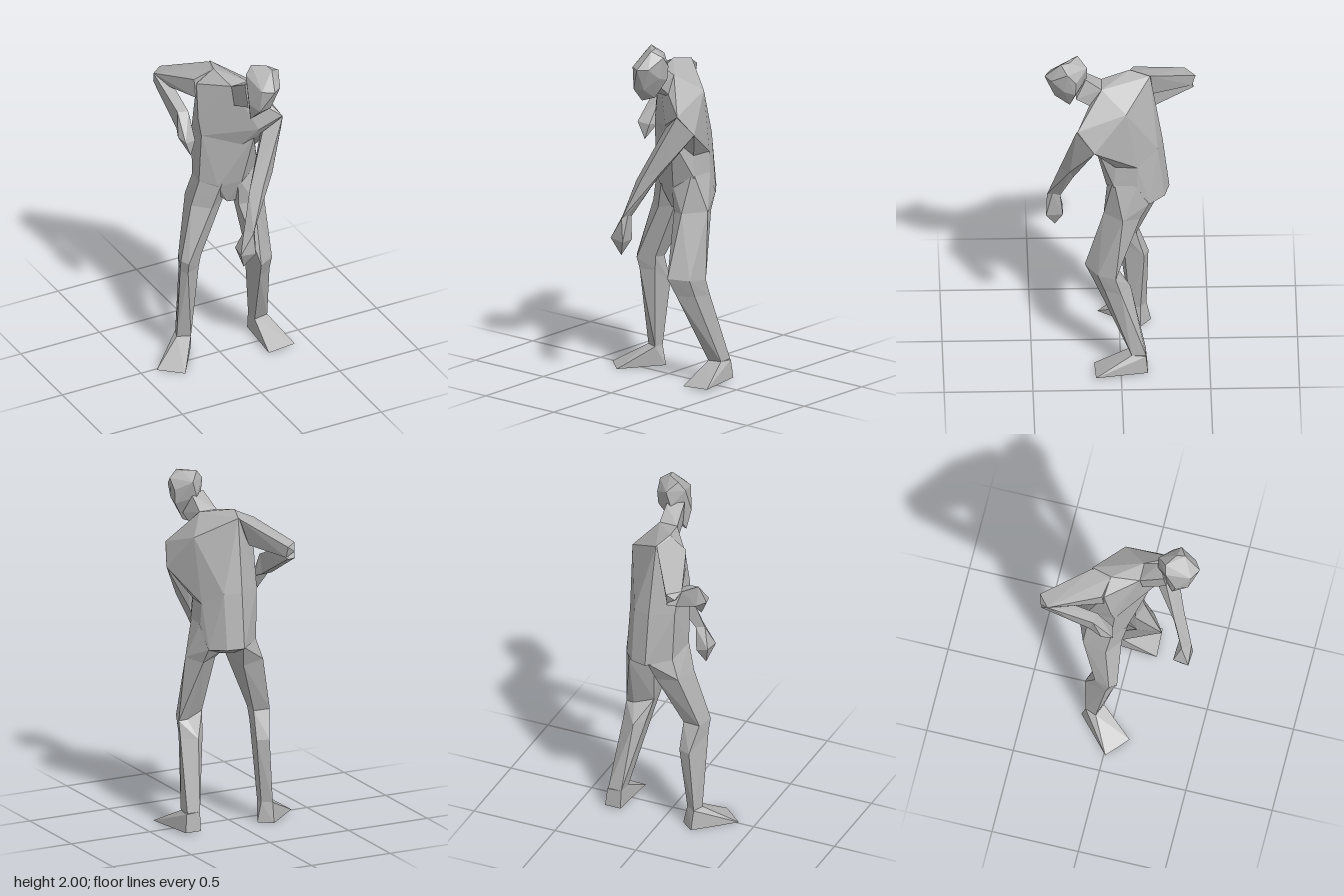
import * as THREE from 'three';
import { ConvexGeometry } from 'three/addons/geometries/ConvexGeometry.js';

const clay = new THREE.MeshStandardMaterial({ color: 0xb4b4b4 });
clay.name = 'grey clay';

// A faceted limb: each pair of neighbouring cross-sections is skinned as one segment.
function limb(names, sections) {
  const group = new THREE.Group();
  names.forEach((name, i) => {
    const points = [...sections[i], ...sections[i + 1]].map((p) => new THREE.Vector3(...p));
    const mesh = new THREE.Mesh(new ConvexGeometry(points), clay);
    mesh.name = name;
    group.add(mesh);
  });
  return group;
}

export function createModel() {
  const model = new THREE.Group();
  model.name = 'standingFigure';
  const add = (name, names, sections) => {
    const g = limb(names, sections);
    g.name = name;
    model.add(g);
  };

  // Head, bowed forward: crown and brow, then jaw and chin
  add('headGroup', ['head'], [
    [[0.075, 2, 0.24], [0.155, 1.995, 0.335], [0.147, 2, 0.288], [0.215, 1.96, 0.3],
      [0.127, 1.9, 0.427], [0.18, 1.9, 0.39], [0.065, 1.9, 0.39], [0.035, 1.95, 0.25],
      [0.127, 1.95, 0.187], [0.1, 1.86, 0.19], [0.21, 1.9, 0.25]],
    [[0.205, 1.82, 0.255], [0.2, 1.84, 0.32], [0.025, 1.79, 0.31], [0.06, 1.765, 0.375],
      [0.13, 1.77, 0.37], [0.045, 1.675, 0.285], [0.14, 1.71, 0.285]],
  ]);
  add('neckGroup', ['neck'], [
    [[0.02, 1.8, 0.105], [0.128, 1.8, 0.105], [0.14, 1.68, 0.14], [0.03, 1.68, 0.12]],
    [[0.035, 1.88, 0.24], [0.127, 1.87, 0.195], [0.16, 1.76, 0.25], [0.05, 1.73, 0.25]],
  ]);

  // Torso, twisted toward its right, from shoulders down to pelvis
  add('torso', ['chest', 'abdomen', 'pelvis'], [
    [[-0.01, 1.84, -0.055], [0.027, 1.82, -0.17], [0.02, 1.8, 0.105], [0.128, 1.8, 0.105],
      [0.235, 1.7, -0.03], [0.27, 1.61, 0.245], [0.315, 1.49, 0.15], [0.145, 1.53, 0.2],
      [-0.11, 1.76, -0.07], [-0.12, 1.55, -0.03]],
    [[-0.11, 1.45, -0.01], [0.08, 1.4, 0.11], [0.14, 1.45, 0.15], [0.21, 1.325, 0.03],
      [0.22, 1.325, -0.095], [0.14, 1.4, -0.21], [0.04, 1.4, -0.24], [-0.09, 1.4, -0.17]],
    [[-0.115, 1.14, -0.03], [-0.03, 1.12, 0.04], [0.1, 1.14, 0.08], [0.22, 1.2, 0.04],
      [0.23, 1.18, -0.09], [0.21, 1.07, -0.165], [0.14, 1.08, -0.25], [0.045, 1.085, -0.278],
      [-0.08, 1.1, -0.18]],
    [[0.04, 0.99, 0.02], [0.09, 0.985, 0.02], [0.09, 1.03, -0.14], [0.04, 1.03, -0.15]],
  ]);

  // Left arm, reaching down across the body
  add('leftArm', ['leftUpperArm', 'leftForearm', 'leftHand', 'leftFingers'], [
    [[0.27, 1.61, 0.25], [0.315, 1.49, 0.15], [0.16, 1.52, 0.215], [0.18, 1.47, 0.15]],
    [[0.025, 1.21, 0.31], [0.1, 1.25, 0.342], [0.185, 1.28, 0.285], [0.11, 1.19, 0.265]],
    [[-0.035, 1, 0.36], [0, 1, 0.41], [0.022, 1.02, 0.38], [0.01, 1, 0.335]],
    [[-0.08, 0.875, 0.41], [0.012, 0.865, 0.415], [-0.07, 0.88, 0.32], [0, 0.86, 0.32]],
    [[-0.04, 0.77, 0.365]],
  ]);

  // Right arm, elbow thrown back and forearm folded forward
  add('rightArm', ['rightUpperArm'], [
    [[-0.01, 1.835, -0.055], [0.02, 1.815, -0.172], [-0.12, 1.785, -0.08], [-0.115, 1.67, -0.07], [-0.03, 1.66, -0.19]],
    [[-0.225, 1.7, -0.37], [-0.2, 1.66, -0.415], [-0.153, 1.695, -0.43], [-0.15, 1.63, -0.41], [-0.2, 1.64, -0.36]],
  ]);
  add('rightLowerArm', ['rightForearm', 'rightHand', 'rightFingers'], [
    [[-0.225, 1.7, -0.37], [-0.205, 1.62, -0.41], [-0.15, 1.62, -0.42], [-0.15, 1.68, -0.35]],
    [[-0.21, 1.58, -0.11], [-0.205, 1.46, -0.13], [-0.145, 1.46, -0.13], [-0.145, 1.57, -0.1]],
    [[-0.235, 1.45, -0.055], [-0.22, 1.44, 0.01], [-0.13, 1.43, -0.06], [-0.15, 1.43, -0.01]],
    [[-0.18, 1.34, -0.005]],
  ]);

  // Left leg, knee bent forward
  add('leftLeg', ['leftHip', 'leftThigh', 'leftKnee', 'leftShin'], [
    [[0.08, 1.16, 0.07], [0.21, 1.24, 0.04], [0.23, 1.2, -0.09], [0.21, 1.07, -0.16], [0.1, 1.06, -0.14]],
    [[0.09, 0.98, 0.06], [0.175, 0.99, 0.095], [0.28, 1, -0.01], [0.22, 0.98, -0.11], [0.1, 0.98, -0.03]],
    [[0.16, 0.63, 0.2], [0.265, 0.62, 0.13], [0.3, 0.615, 0.03], [0.25, 0.62, 0.02], [0.14, 0.65, 0.055]],
    [[0.18, 0.52, 0.145], [0.27, 0.52, 0.09], [0.305, 0.52, 0.0], [0.22, 0.52, -0.055], [0.165, 0.53, 0.0]],
    [[0.25, 0.115, -0.05], [0.335, 0.12, -0.06], [0.335, 0.12, -0.14], [0.255, 0.12, -0.14]],
  ]);

  // Right leg, turned outward
  add('rightLeg', ['rightHip', 'rightThigh', 'rightKnee', 'rightShin'], [
    [[-0.115, 1.14, -0.03], [-0.01, 1.14, 0.05], [0.04, 1.09, -0.26], [-0.08, 1.1, -0.18]],
    [[-0.155, 0.98, -0.05], [-0.06, 0.97, 0.02], [0.03, 0.99, -0.02], [0.01, 0.96, -0.2], [-0.12, 0.98, -0.19]],
    [[-0.24, 0.66, -0.01], [-0.21, 0.65, 0.03], [-0.11, 0.66, -0.015], [-0.11, 0.65, -0.095], [-0.21, 0.65, -0.1]],
    [[-0.235, 0.58, -0.03], [-0.205, 0.58, 0.01], [-0.12, 0.58, -0.025], [-0.105, 0.49, -0.14], [-0.175, 0.49, -0.165]],
    [[-0.225, 0.115, -0.09], [-0.15, 0.115, -0.06], [-0.145, 0.115, -0.12], [-0.2, 0.115, -0.155]],
  ]);

  // Wedge feet: ankle above, flat sole below
  add('leftFootGroup', ['leftFoot'], [
    [[0.25, 0.115, -0.05], [0.335, 0.12, -0.06], [0.34, 0.115, -0.14], [0.255, 0.12, -0.14]],
    [[0.235, 0.005, 0.15], [0.403, 0.015, 0.143], [0.35, 0.01, -0.15], [0.255, 0.01, -0.15]],
  ]);
  add('rightFootGroup', ['rightFoot'], [
    [[-0.225, 0.115, -0.09], [-0.15, 0.115, -0.06], [-0.145, 0.115, -0.12], [-0.2, 0.115, -0.155]],
    [[-0.405, 0, 0.01], [-0.28, 0, 0.12], [-0.12, 0, -0.12], [-0.195, 0, -0.18]],
  ]);
  return model;
}
